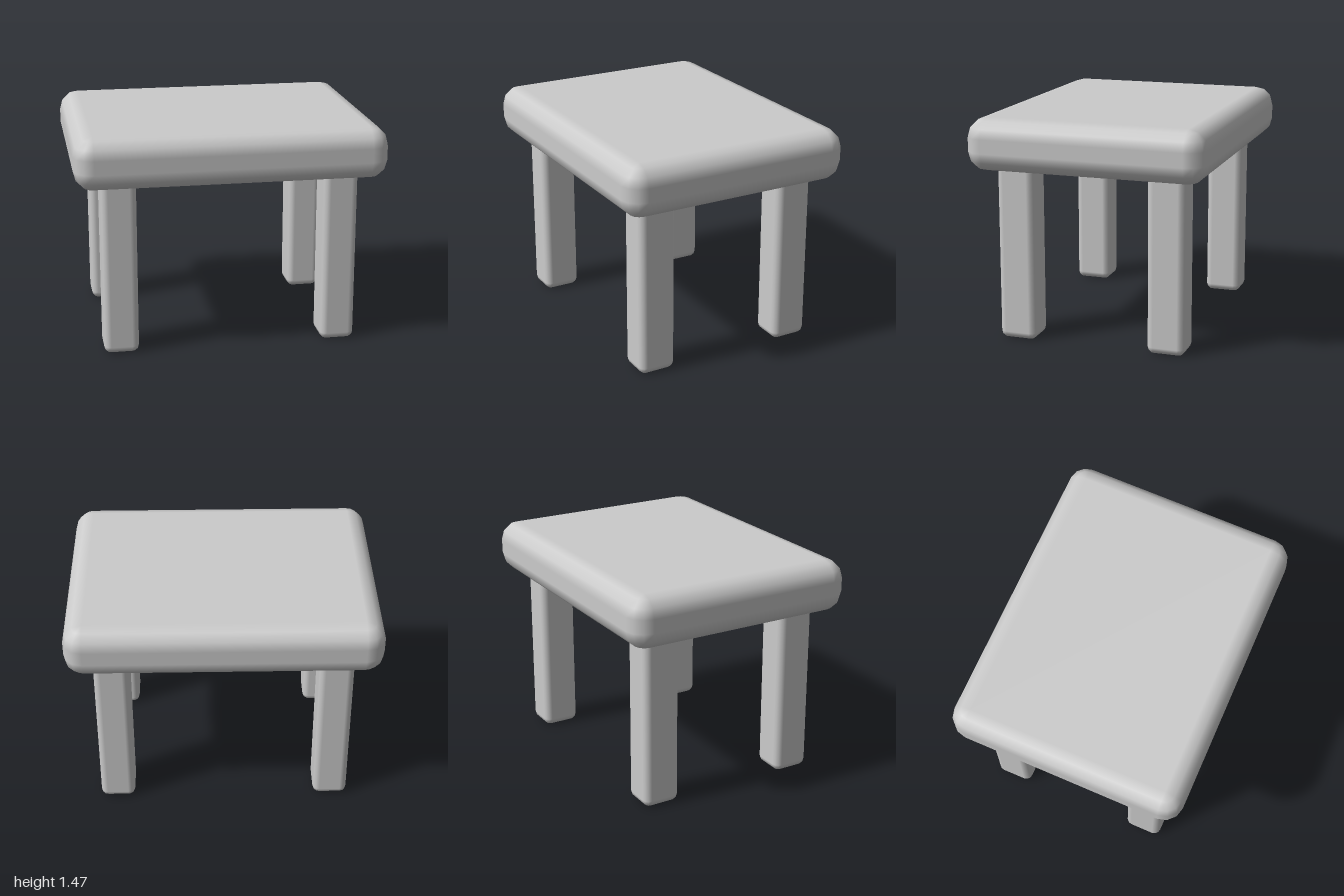
import * as THREE from 'three';

const STEPS = 3; // facets per rounded edge

// Box with evenly stepped round edges and ball corners, smooth normals
function softBox(w, h, d, r) {
  const pos = [], nor = [], index = [];
  const cols = 4 * (STEPS + 1), rows = 2 * (STEPS + 1);
  const step = Math.PI / 2 / STEPS;
  for (let i = 0; i < rows; i++) {
    const top = i <= STEPS;
    const lat = top ? Math.PI / 2 - i * step : -(i - STEPS - 1) * step;
    for (let j = 0; j < cols; j++) {
      const q = Math.floor(j / (STEPS + 1));
      const a = q * Math.PI / 2 + (j % (STEPS + 1)) * step;
      const n = [Math.cos(lat) * Math.cos(a), Math.sin(lat), Math.cos(lat) * Math.sin(a)];
      const sx = q === 0 || q === 3 ? 1 : -1, sz = q < 2 ? 1 : -1;
      pos.push(
        sx * (w / 2 - r) + n[0] * r,
        (top ? 1 : -1) * (h / 2 - r) + n[1] * r,
        sz * (d / 2 - r) + n[2] * r
      );
      nor.push(...n);
      if (i < rows - 1) {
        const k = (j + 1) % cols, u = i * cols, l = u + cols;
        index.push(l + j, u + j, l + k, u + j, u + k, l + k);
      }
    }
  }
  // flat top and bottom
  const c = STEPS + 1, b = (rows - 1) * cols;
  index.push(0, 3 * c, 2 * c, 0, 2 * c, c);
  index.push(b, b + c, b + 2 * c, b, b + 2 * c, b + 3 * c);

  const g = new THREE.BufferGeometry();
  g.setAttribute('position', new THREE.Float32BufferAttribute(pos, 3));
  g.setAttribute('normal', new THREE.Float32BufferAttribute(nor, 3));
  g.setIndex(index);
  return g;
}

export function createModel() {
  const group = new THREE.Group();
  const material = new THREE.MeshStandardMaterial({ color: 0xcccccc });

  // thick cushioned top
  const top = new THREE.Mesh(softBox(2, 0.34, 1.56, 0.125), material);
  top.name = 'tableTop';
  top.position.y = 1.297;
  group.add(top);

  // four legs, reaching a little way into the top
  const legHeight = 1.2;
  const legGeometry = softBox(0.227, legHeight, 0.247, 0.045);
  for (const [side, x] of [['Left', 0.717], ['Right', -0.717]]) {
    for (const [end, z] of [['front', 0.5], ['back', -0.5]]) {
      const leg = new THREE.Mesh(legGeometry, material);
      leg.name = `${end}${side}Leg`;
      leg.position.set(x, legHeight / 2, z);
      group.add(leg);
    }
  }
  return group;
}
